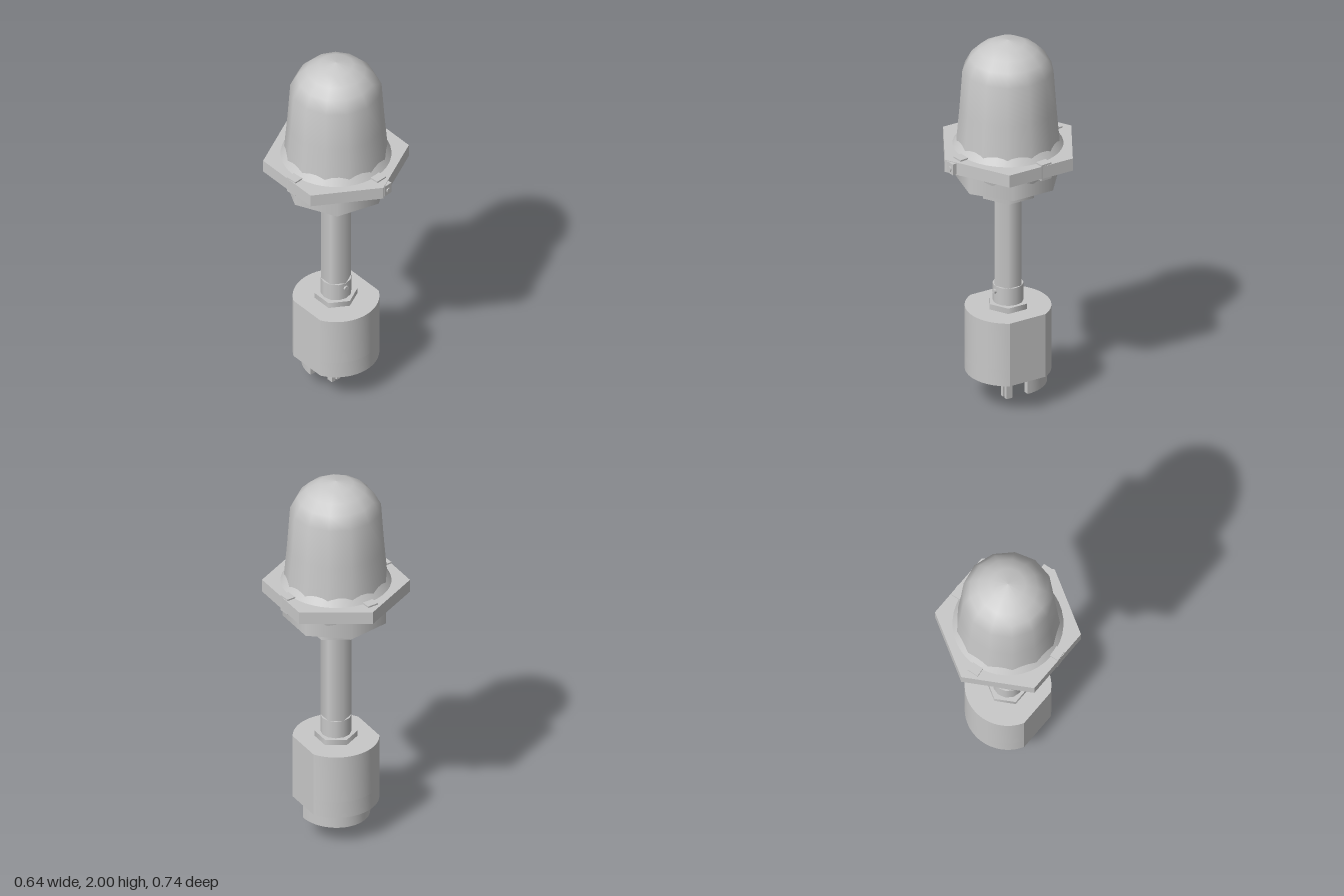
import * as THREE from 'three';
import { toCreasedNormals } from 'three/addons/utils/BufferGeometryUtils.js';

export function createModel() {
  const model = new THREE.Group();
  const grey = new THREE.MeshStandardMaterial({ color: 0xc8c8c8 });
  grey.name = 'lightGrey';

  function add(name, geometry, x = 0, y = 0, z = 0, parent = model) {
    const mesh = new THREE.Mesh(geometry, grey);
    mesh.name = name;
    mesh.position.set(x, y, z);
    parent.add(mesh);
    return mesh;
  }
  // Upright prism or cone between two heights
  function column(name, rBottom, rTop, y0, y1, sides, turn = 0) {
    const g = new THREE.CylinderGeometry(rTop, rBottom, y1 - y0, sides, 1, false, turn);
    return add(name, g, 0, (y0 + y1) / 2, 0);
  }
  // Plan shape extruded upward, with smooth curved walls
  function slab(name, shape, y0, y1) {
    const g = new THREE.ExtrudeGeometry(shape, { depth: y1 - y0, bevelEnabled: false, curveSegments: 14 });
    g.rotateX(-Math.PI / 2);
    return add(name, toCreasedNormals(g, 0.45), 0, y0, 0);
  }

  // Dome, faceted in outline and smooth in shading
  const profile = [[0.262, 1.41], [0.26, 1.46], [0.245, 1.63], [0.23, 1.84], [0.195, 1.905],
    [0.15, 1.95], [0.088, 1.985], [0, 2]].map(([r, y]) => new THREE.Vector2(r, y));
  add('dome', new THREE.LatheGeometry(profile, 13, 0.05));
  column('domeSeat', 0.281, 0.252, 1.42, 1.465, 40);

  // Hexagonal flange with four clips around the dome
  const flange = new THREE.CylinderGeometry(0.37, 0.37, 0.068, 6).toNonIndexed();
  flange.computeVertexNormals();
  add('flange', flange, 0, 1.391, 0);
  for (let i = 0; i < 4; i++) {
    const arm = new THREE.Group();
    arm.name = 'clip' + (i + 1);
    arm.rotation.y = 0.1 + i * Math.PI / 2;
    add('clipBlock', new THREE.BoxGeometry(0.06, 0.088, 0.052), 0, 1.389, 0.294, arm);
    model.add(arm);
  }
  const latch = add('latchBlock', new THREE.BoxGeometry(0.048, 0.06, 0.05), 0.035, 1.391, 0.337);
  latch.rotation.y = 0.1;

  // Small round screw heads; turn aims them around the y axis
  function screw(x, y, z, turn, r = 0.013) {
    const g = new THREE.CylinderGeometry(r, r, 0.016, 10);
    g.rotateX(Math.PI / 2);
    add('screw', g, x, y, z).rotation.y = turn;
  }
  screw(0.037, 1.388, 0.36, 0.1);
  screw(0, 0.615, 0.077, 0);
  screw(0.13, 1.183, 0, Math.PI / 2);
  screw(-0.13, 1.183, 0, -Math.PI / 2);

  // Seven-sided housing pierced by a round cone
  column('housing', 0.268, 0.268, 1.23, 1.35, 7, -Math.PI / 2);
  column('housingCone', 0.236, 0.255, 1.27, 1.358, 36);

  // Stem with its collars
  column('upperCollar', 0.147, 0.147, 1.15, 1.225, 6);
  column('collarNeck', 0.118, 0.118, 1.22, 1.235, 12);
  column('stem', 0.077, 0.077, 0.54, 1.16, 6);
  column('lowerCollar', 0.078, 0.078, 0.545, 0.645, 12);
  column('stemNut', 0.108, 0.108, 0.52, 0.55, 6);

  // Round plug body with flat sides, hollow underneath
  const R = 0.217, a = Math.acos(0.19 / R);
  function bodyShape() {
    const s = new THREE.Shape();
    s.absarc(0, 0, R, a, Math.PI - a);
    s.absarc(0, 0, R, Math.PI + a, 2 * Math.PI - a);
    s.closePath();
    return s;
  }
  const wall = bodyShape();
  const bore = new THREE.Path();
  bore.absarc(0, 0, 0.165, 0, Math.PI * 2, true);
  wall.holes.push(bore);
  slab('plugWall', wall, 0.17, 0.26);
  slab('plugBody', bodyShape(), 0.26, 0.52);

  // Half-round skirt behind the pins
  const half = new THREE.Shape();
  half.absarc(0, 0, 0.178, 0, Math.PI);
  half.absarc(0, 0, 0.146, Math.PI, 0, true);
  half.closePath();
  const skirt = slab('skirt', half, 0.1, 0.26);
  skirt.position.x = 0.012;
  skirt.scale.z = 1.09;

  // Contact pins
  for (const x of [-0.03, 0.003]) {
    add('pin', new THREE.BoxGeometry(0.022, 0.28, 0.034), x, 0.14, 0);
  }
  return model;
}
